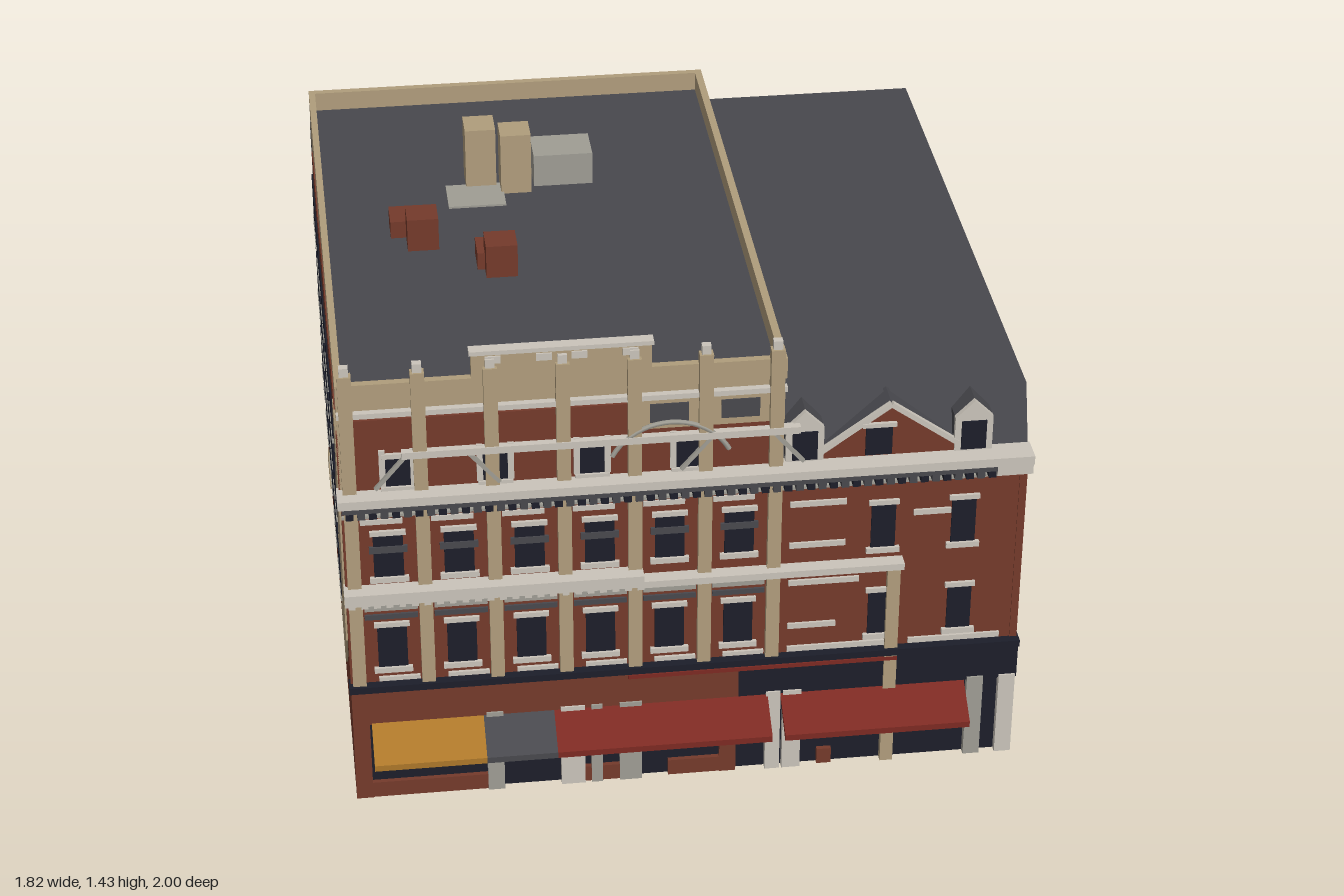
import * as THREE from 'three';

const mat = (name, color, double) => {
  const m = new THREE.MeshStandardMaterial({ color });
  m.name = name;
  if (double) m.side = THREE.DoubleSide;
  return m;
};

export function createModel() {
  const root = new THREE.Group();
  root.name = 'cornerBuilding';
  const brick = mat('brick red', 0x743a2b), stone = mat('sandstone', 0xb09d7c);
  const trim = mat('pale trim', 0xcac4ba), grey = mat('weathered grey', 0x9f9d94);
  const slate = mat('slate', 0x48484d, true), navy = mat('dark navy', 0x1c1e2a);
  const red = mat('awning red', 0x7c2a22, true), gold = mat('awning gold', 0xac772a, true);
  const soil = mat('shop floor brown', 0x6a563c);

  const add = (name, geo, m, parent = root) => {
    const mesh = new THREE.Mesh(geo, m);
    mesh.name = name;
    parent.add(mesh);
    return mesh;
  };
  // box given by its extents
  const box = (name, m, x0, x1, y0, y1, z0, z1, p) => {
    const g = new THREE.BoxGeometry(x1 - x0, y1 - y0, z1 - z0);
    g.translate((x0 + x1) / 2, (y0 + y1) / 2, (z0 + z1) / 2);
    return add(name, g, m, p);
  };
  // bar between two points
  const bar = (name, m, a, b, t, p) => {
    const A = new THREE.Vector3(...a), B = new THREE.Vector3(...b);
    const mesh = add(name, new THREE.BoxGeometry(t, t, A.distanceTo(B)), m, p);
    mesh.position.copy(A).add(B).multiplyScalar(0.5);
    mesh.lookAt(B);
    return mesh;
  };
  // outline in (x, y) extruded along z from z0
  const prism = (name, m, pts, z0, depth) => {
    const s = new THREE.Shape(pts.map(q => new THREE.Vector2(...q)));
    return add(name, new THREE.ExtrudeGeometry(s, { depth, bevelEnabled: false }).translate(0, 0, z0), m);
  };
  // outline in (z, y) extruded along x from x0
  const sidePrism = (name, m, pts, x0, depth, p) => {
    const s = new THREE.Shape(pts.map(([z, y]) => new THREE.Vector2(-z, y)));
    return add(name, new THREE.ExtrudeGeometry(s, { depth, bevelEnabled: false }).rotateY(Math.PI / 2).translate(x0, 0, 0), m, p);
  };

  // hollow shell, open underneath
  box('rightWall', brick, 0.88, 0.9, 0, 0.95, -0.91, 0.893);
  box('leftWall', brick, -0.9, -0.88, 0, 0.95, -0.91, 0.893);
  box('backWall', brick, -0.88, 0.88, 0, 0.95, -0.91, -0.89);
  box('frontWall', brick, -0.88, 0.88, 0.27, 0.95, 0.87, 0.89);
  box('ceiling', stone, -0.88, 0.88, 0.935, 0.949, -0.89, 0.87);
  box('backCoping', trim, -0.9, 0.9, 0.948, 0.956, -0.914, -0.885);
  box('rearPartition', stone, -0.88, 0.88, 0.01, 0.3, -0.74, -0.73);
  box('shopFloor', soil, -0.88, 0.88, 0, 0.012, 0.5, 0.865);
  box('shopRearWall', brick, -0.88, 0.88, 0.012, 0.935, 0.48, 0.5);
  [[0.45, 0.8, 0.17, trim], [0, 0.45, 0.3, stone], [-0.85, -0.48, 0.25, trim]].forEach(([a, b, h, m]) =>
    box('rearWallPanel', m, a, b, 0.012, h, 0.474, 0.48));

  // slate roof storey and taller front-left block
  sidePrism('mansardRoof', slate, [[-0.89, 0.95], [0.885, 0.95], [0.815, 1.14], [-0.89, 1.14]], -0.9, 1.8);
  box('tallBlock', stone, -0.9, 0.25, 0.95, 1.245, -0.76, 0.88);
  box('tallRoof', slate, -0.882, 0.235, 1.245, 1.25, -0.743, 0.868);
  box('parapetBack', stone, -0.9, 0.255, 1.245, 1.305, -0.763, -0.743);
  box('parapetFront', stone, -0.9, 0.255, 1.245, 1.305, 0.868, 0.888);
  box('parapetLeft', stone, -0.9, -0.882, 1.245, 1.305, -0.743, 0.868);
  box('parapetRight', stone, 0.235, 0.255, 1.245, 1.305, -0.743, 0.868);
  box('parapetPanel', stone, -0.555, -0.095, 1.305, 1.375, 0.868, 0.892);
  box('parapetCap', trim, -0.56, -0.09, 1.375, 1.387, 0.865, 0.897);
  [-0.5, -0.37, -0.28, -0.15].forEach(x => box('panelBlock', trim, x - 0.02, x + 0.02, 1.35, 1.37, 0.892, 0.897));

  // chimneys and roof vents: x, z, width, depth, top
  [[-0.667, 0, 0.085, 0.09, 1.3, brick], [-0.625, 0.08, 0.085, 0.085, 1.345, brick],
    [-0.445, 0.2, 0.085, 0.09, 1.3, brick], [-0.425, 0.25, 0.085, 0.085, 1.345, brick],
    [-0.44, -0.26, 0.085, 0.09, 1.43, stone], [-0.345, -0.215, 0.085, 0.085, 1.43, stone],
    [-0.46, -0.165, 0.16, 0.125, 1.256, grey], [-0.21, -0.265, 0.165, 0.12, 1.345, grey]
  ].forEach(([x, z, w, d, top, m]) => box('chimney', m, x - w / 2, x + w / 2, 1.25, top, z - d / 2, z + d / 2));

  // right wall windows
  for (const y of [0.43, 0.715]) for (let i = 0; i < 6; i++) {
    const z = 0.63 - i * 0.255;
    box('rightWindow', navy, 0.9, 0.903, y + 0.01, y + 0.14, z - 0.039, z + 0.039);
    box('rightSill', trim, 0.9, 0.907, y - 0.004, y + 0.01, z - 0.045, z + 0.045);
  }
  // back wall windows
  for (const y of [0.43, 0.715]) for (let i = -3; i <= 3; i++) {
    const x = i * 0.257;
    box('backWindow', navy, x - 0.039, x + 0.039, y + 0.01, y + 0.14, -0.913, -0.91);
    box('backSill', grey, x - 0.045, x + 0.045, y - 0.002, y + 0.01, -0.915, -0.91);
  }
  // back door, canopies and steps
  box('backDoor', navy, -0.545, -0.455, 0.02, 0.17, -0.914, -0.91);
  for (const x of [-0.5, 0.45]) {
    box('doorCanopy', slate, x - 0.065, x + 0.055, 0.19, 0.203, -0.965, -0.91);
    box('doorStep', grey, x - 0.07, x + 0.06, 0, 0.018, -0.982, -0.91);
  }

  // fire escape with solid end brackets
  const escape = new THREE.Group();
  escape.name = 'fireEscape';
  root.add(escape);
  for (const y of [0.41, 0.685]) {
    box('platform', navy, 0, 0.42, y, y + 0.012, -0.998, -0.91, escape);
    for (const h of [0.04, 0.075]) bar('railFront', navy, [0, y + h, -0.995], [0.42, y + h, -0.995], 0.01, escape);
    for (let i = 0; i <= 10; i++) bar('railPost', navy, [i * 0.0416 + 0.002, y, -0.995], [i * 0.0416 + 0.002, y + 0.078, -0.995], 0.007, escape);
    for (const x of [0.002, 0.41]) sidePrism('endBracket', navy,
      [[-0.91, y - 0.06], [-0.998, y], [-0.998, y + 0.078], [-0.91, y + 0.078]], x, 0.008, escape);
  }
  for (const z of [-0.985, -0.94]) bar('stairStringer', navy, [0.08, 0.42, z], [0.34, 0.685, z], 0.01, escape);
  for (let i = 1; i < 12; i++) box('stairTread', navy, 0.07 + i * 0.0217, 0.09 + i * 0.0217, 0.42 + i * 0.0213, 0.426 + i * 0.0213, -0.985, -0.94, escape);
  for (const x of [0.07, 0.11]) bar('ladderRail', navy, [x, 0.21, -0.99], [x, 0.41, -0.99], 0.007, escape);
  for (let i = 0; i < 8; i++) bar('ladderRung', navy, [0.07, 0.225 + i * 0.025, -0.99], [0.11, 0.225 + i * 0.025, -0.99], 0.005, escape);

  // left wall: exposed brick above, patchy plaster, paired windows
  sidePrism('leftUpperBrick', brick, [[-0.66, 0.95], [0.88, 0.95], [0.88, 1.16], [0.7, 1.24], [0.45, 1.19], [0.1, 1.23],
    [-0.2, 1.18], [-0.45, 1.22], [-0.64, 1.17], [-0.6, 1.08]], -0.903, 0.005);
  sidePrism('plasterPatch', stone, [[0.3, 0.35], [0.42, 0.25], [0.6, 0.24], [0.74, 0.36], [0.86, 0.5], [0.87, 1.2], [0.74, 1.18],
    [0.7, 0.95], [0.56, 0.82], [0.52, 0.6], [0.36, 0.52]], -0.905, 0.007);
  sidePrism('plasterPatch', stone, [[-0.76, 0.02], [-0.6, 0.02], [-0.62, 0.14], [-0.7, 0.1]], -0.905, 0.007);
  for (const y of [0.44, 0.7, 0.95]) for (const c of [-0.56, -0.3, -0.04, 0.22, 0.48]) for (const s of [-1, 1]) {
    const z = c + s * 0.055;
    box('leftWindow', navy, -0.907, -0.9, y, y + 0.14, z - 0.036, z + 0.036);
    box('leftSill', grey, -0.909, -0.9, y - 0.012, y, z - 0.042, z + 0.042);
  }

  // front facade of the tall block
  box('frontBrick', brick, -0.89, -0.155, 0.95, 1.2, 0.88, 0.89);
  box('frontBrick', brick, -0.155, 0.24, 0.95, 1.12, 0.88, 0.89);
  box('frontStone', stone, -0.155, 0.25, 1.12, 1.215, 0.88, 0.89);
  for (const x of [-0.05, 0.135]) box('friezePanel', slate, x - 0.05, x + 0.05, 1.14, 1.195, 0.89, 0.893);
  box('parapetMoulding', trim, -0.9, 0.255, 1.21, 1.225, 0.88, 0.898);
  const frontWindow = (x, y, w, h) => {
    box('frontWindow', navy, x - w / 2, x + w / 2, y, y + h, 0.88, 0.894);
    box('windowSill', trim, x - w / 2 - 0.012, x + w / 2 + 0.012, y - 0.016, y, 0.88, 0.901);
    box('windowHead', trim, x - w / 2 - 0.008, x + w / 2 + 0.008, y + h, y + h + 0.014, 0.88, 0.899);
  };
  for (let i = 0; i < 7; i++) {
    const x = -0.876 + i * 0.184;
    box('pilaster', stone, x - 0.018, x + 0.018, 0.38, 1.34, 0.88, 0.907);
    box('pilasterFinial', trim, x - 0.012, x + 0.012, 1.34, 1.365, 0.882, 0.902);
    if (i === 6) break;
    const c = x + 0.092;
    frontWindow(c, 0.43, 0.078, 0.13);
    frontWindow(c, 0.72, 0.078, 0.13);
    box('storeyBand', slate, c - 0.07, c + 0.07, 0.585, 0.6, 0.88, 0.896);
    box('storeyBand', grey, c - 0.07, c + 0.07, 0.612, 0.63, 0.88, 0.896);
    box('storeyBand', trim, c - 0.07, c + 0.04, 0.885, 0.9, 0.88, 0.896);
    box('baseBand', trim, c - 0.04, c + 0.07, 0.386, 0.398, 0.88, 0.898);
    box('windowBlind', slate, c - 0.05, c + 0.05, 0.795, 0.815, 0.89, 0.897);
  }
  for (const c of [-0.75, -0.5, -0.25, 0]) {
    frontWindow(c, 1.0, 0.066, 0.085);
    for (const s of [-1, 1]) box('atticWindowFrame', trim, c + s * 0.04 - 0.008, c + s * 0.04 + 0.008, 1.0, 1.11, 0.88, 0.897);
  }
  box('atticRail', trim, -0.74, 0.29, 1.088, 1.108, 0.885, 0.91);
  add('atticArch', new THREE.TorusGeometry(0.17, 0.007, 6, 20, Math.PI * 0.7).rotateZ(Math.PI * 0.15).translate(-0.047, 0.975, 0.903), grey);
  for (const s of [-1, 1]) for (const c of [-0.65, 0.14]) bar('atticBrace', grey, [c + s * 0.16, 1.0, 0.904], [c + s * 0.08, 1.095, 0.904], 0.01);

  // cornices with dentils
  box('mainCornice', trim, -0.91, 0.905, 0.965, 0.99, 0.87, 0.942);
  box('corniceShadow', slate, -0.9, 0.81, 0.945, 0.965, 0.87, 0.932);
  box('corniceEnd', trim, 0.81, 0.905, 0.93, 0.965, 0.87, 0.932);
  box('corniceFrieze', grey, -0.9, 0.9, 0.91, 0.918, 0.87, 0.902);
  for (let i = 0; i < 57; i++) box('dentil', i % 2 ? slate : navy, -0.89 + i * 0.03, -0.87 + i * 0.03, 0.918, 0.945, 0.88, 0.92);
  box('middleCornice', trim, -0.905, -0.12, 0.66, 0.695, 0.88, 0.94);
  box('middleCornice', trim, -0.12, 0.575, 0.65, 0.67, 0.88, 0.93);
  for (let i = 0; i < 24; i++) box('modillion', trim, -0.895 + i * 0.033, -0.877 + i * 0.033, 0.638, 0.66, 0.88, 0.92);

  // right part of the front: windows, gable and dormers
  for (const x of [0.52, 0.735]) for (const y of [0.425, 0.705]) frontWindow(x, y, 0.065, 0.135);
  for (const [a, b, y] of [[0.27, 0.42, 0.85], [0.27, 0.55, 0.385], [0.6, 0.85, 0.385], [0.6, 0.7, 0.8], [0.27, 0.42, 0.72], [0.27, 0.46, 0.6], [0.27, 0.4, 0.46]])
    box('wallBand', trim, a, b, y, y + 0.016, 0.88, 0.897);
  box('tallPost', stone, 0.535, 0.57, 0, 0.65, 0.88, 0.907);
  prism('gableRoof', slate, [[0.3, 0.98], [0.76, 0.98], [0.53, 1.146]], 0.8, 0.075);
  prism('brickGable', brick, [[0.31, 0.98], [0.75, 0.98], [0.53, 1.14]], 0.87, 0.015);
  for (const s of [-1, 1]) bar('gableCoping', trim, [0.53 + s * 0.22, 0.985, 0.885], [0.53, 1.145, 0.885], 0.014);
  box('gableWindow', navy, 0.465, 0.535, 0.995, 1.08, 0.88, 0.891);
  box('gableWindowHead', trim, 0.455, 0.545, 1.08, 1.092, 0.88, 0.895);
  for (const x of [0.305, 0.75]) {
    const outline = [[x - 0.05, 0.98], [x + 0.05, 0.98], [x + 0.05, 1.09], [x, 1.14], [x - 0.05, 1.09]];
    prism('dormerBody', slate, outline, 0.8, 0.075);
    prism('dormerFront', trim, outline, 0.875, 0.015);
    box('dormerWindow', navy, x - 0.033, x + 0.033, 0.995, 1.08, 0.885, 0.894);
  }

  // shop front
  box('shopGlass', navy, -0.88, 0.88, 0, 0.27, 0.865, 0.885);
  box('shopCornice', navy, -0.905, 0.905, 0.36, 0.38, 0.87, 0.915);
  box('shopFasciaBrick', brick, -0.9, 0.14, 0.245, 0.36, 0.88, 0.9);
  box('shopFasciaDark', navy, 0.14, 0.905, 0.25, 0.36, 0.87, 0.9);
  box('fasciaStripe', red, -0.16, 0.57, 0.34, 0.352, 0.9, 0.908);
  box('cornerPier', brick, -0.9, -0.855, 0, 0.25, 0.87, 0.9);
  box('doorPier', brick, 0.09, 0.135, 0, 0.25, 0.88, 0.9);
  for (const [a, b] of [[-0.855, -0.54], [-0.28, -0.18], [-0.05, 0.09], [0.36, 0.4]]) box('stallRiser', brick, a, b, 0, 0.048, 0.87, 0.898);
  [[-0.52, 0.045, grey], [-0.31, 0.065, trim], [-0.245, 0.03, grey], [-0.153, 0.06, grey], [0.235, 0.04, trim],
    [0.287, 0.05, trim], [0.79, 0.045, grey], [0.878, 0.045, trim]].forEach(([x, w, m]) =>
    box('shopColumn', m, x - w / 2, x + w / 2, 0, 0.26, 0.87, 0.905));

  // sloping awnings with a short valance
  for (const [a, b, m] of [[-0.85, -0.55, gold], [-0.55, -0.36, slate], [-0.36, 0.22, red], [0.255, 0.76, red]])
    sidePrism('awning', m, [[0.9, 0.25], [0.9, 0.24], [0.992, 0.168], [1.0, 0.165], [1.0, 0.183]], a, b - a);

  return root;
}
